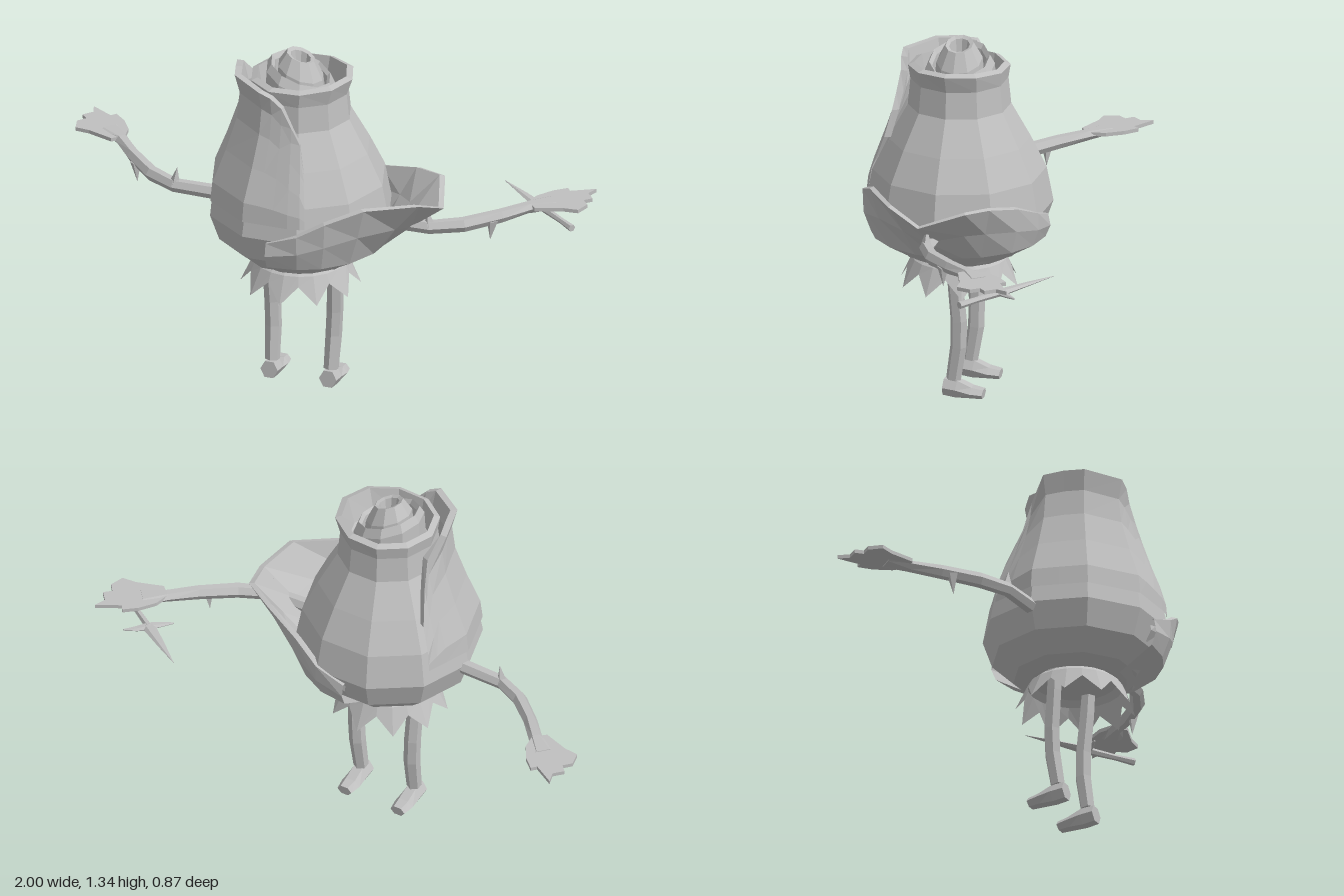
import * as THREE from 'three';

const CZ = 0.1; // the flower's axis sits a little forward
const V = (x, y, z) => new THREE.Vector3(x, y, z);
const mix = THREE.MathUtils.lerp;
const rad = THREE.MathUtils.degToRad;

// point around the flower axis; 0 degrees is +x, 90 is +z
const polar = (deg, r, y) => V(r * Math.cos(rad(deg)), y, CZ + r * Math.sin(rad(deg)));

// surface through rows of points
function grid(rows, wrap = false) {
  const n = rows[0].length, index = [];
  for (let i = 0; i < rows.length - 1; i++) {
    for (let j = 0; j < (wrap ? n : n - 1); j++) {
      const k = (j + 1) % n, a = i * n + j, b = i * n + k, c = (i + 1) * n + k, d = (i + 1) * n + j;
      index.push(a, b, c, a, c, d);
    }
  }
  const g = new THREE.BufferGeometry().setFromPoints(rows.flat());
  g.setIndex(index);
  return g;
}

// six-sided limb through [x, y, z, width radius, depth radius]
function limb(path, ref) {
  const pts = path.map(p => V(p[0], p[1], p[2]));
  const rows = pts.map((p, i) => {
    const t = pts[Math.min(i + 1, pts.length - 1)].clone().sub(pts[Math.max(i - 1, 0)]).normalize();
    const u = t.clone().cross(ref).normalize();
    const v = u.clone().cross(t);
    const [, , , ru, rv = ru] = path[i];
    return Array.from({ length: 6 }, (_, k) => p.clone()
      .addScaledVector(u, ru * Math.cos(k * Math.PI / 3))
      .addScaledVector(v, rv * Math.sin(k * Math.PI / 3)));
  });
  const cap = p => Array.from({ length: 6 }, () => p.clone());
  return grid([cap(pts[0]), ...rows, cap(pts[pts.length - 1])], true);
}

// ten-sided turned part on the flower axis
function turned(profile) {
  const g = new THREE.LatheGeometry(profile.map(p => new THREE.Vector2(p[0], p[1])), 10, rad(18));
  return g.translate(0, 0, CZ);
}

function moveVertices(g, rule) {
  const p = g.attributes.position, v = V(0, 0, 0);
  for (let i = 0; i < p.count; i++) {
    rule(v.fromBufferAttribute(p, i));
    p.setXYZ(i, v.x, v.y, v.z);
  }
  return g;
}

export function createModel() {
  const model = new THREE.Group();
  const grey = new THREE.MeshStandardMaterial({ color: 0xbfbfbf, flatShading: true, side: THREE.DoubleSide });
  grey.name = 'plain grey';
  const add = (name, geometry, parent = model) => {
    const g = geometry.index ? geometry.toNonIndexed() : geometry;
    g.computeVertexNormals();
    const mesh = new THREE.Mesh(g, grey);
    mesh.name = name;
    parent.add(mesh);
    return mesh;
  };

  // bulb with an open neck, the rim lifted on its left
  const bulb = turned([[0, 0.53], [0.17, 0.53], [0.23, 0.55], [0.31, 0.62], [0.345, 0.72], [0.32, 0.85],
    [0.262, 0.97], [0.19, 1.1], [0.18, 1.2], [0.188, 1.25], [0.165, 1.26], [0.15, 1.17], [0, 1.12]]);
  add('flowerBulb', moveVertices(bulb, v => {
    if (v.y > 1.22 && v.x > 0) { v.y += 0.08 * v.x; v.x *= 1.08; }
  }));

  // nested inner petals, slanting down to the left
  const slant = v => { if (v.y > 1.19) v.y -= 0.35 * v.x; };
  add('innerPetals', moveVertices(turned([[0.14, 1.1], [0.13, 1.24], [0.112, 1.275], [0.1, 1.26], [0.09, 1.15]]), slant));
  add('innerBud', moveVertices(turned([[0.1, 1.12], [0.085, 1.27], [0.052, 1.33], [0.038, 1.325], [0.03, 1.28], [0, 1.3]]), slant));

  // outer petal wrapping the front and right: [angle, rim height]
  const petalProfile = [[0.78, 0.34], [0.85, 0.333], [0.97, 0.285], [1.1, 0.24], [1.2, 0.226], [1.29, 0.25]];
  const petalRadius = (y, deg) => {
    let i = 0;
    while (i < petalProfile.length - 2 && y > petalProfile[i + 1][0]) i++;
    const [a, b] = [petalProfile[i], petalProfile[i + 1]];
    const r = mix(a[1], b[1], (y - a[0]) / (b[0] - a[0]));
    return r * Math.cos(rad(18)) / Math.cos(rad((deg % 36) - 18));
  };
  const wrapRim = [[212, 0.95], [205, 1.08], [198, 1.19], [180, 1.27], [162, 1.28], [144, 1.28],
    [108, 1.27], [98, 1.25], [88, 1.21], [78, 1.14], [70, 1.08], [67, 0.98]];
  add('wrappingPetal', grid(wrapRim.map(([deg, top]) => {
    const levels = [0, 0.15, 0.4, 0.65, 0.85, 1].map(t => mix(0.78, top, t));
    const outer = levels.map(y => polar(deg, petalRadius(y, deg) + 0.004, y));
    const inner = levels.map(y => polar(deg, petalRadius(y, deg) - 0.022, y)).reverse();
    return [...outer, ...inner];
  })));

  // drooping petal peeled out on the left: [angle, rim radius, rim height]
  const foldRim = [[-92, 0.335, 0.7], [-72, 0.35, 0.74], [-52, 0.365, 0.79], [-30, 0.45, 0.835], [-18, 0.53, 0.85],
    [0, 0.56, 0.8], [14, 0.525, 0.855], [36, 0.42, 0.86], [56, 0.375, 0.81], [72, 0.355, 0.755], [92, 0.335, 0.71]];
  add('foldedPetal', grid(foldRim.map(([deg, r, y]) => {
    const out = [[0.19, 0.53], [0.325, 0.61], [mix(0.35, r, 0.4), mix(0.61, y, 0.5)], [r, y]];
    const back = [[r - 0.02, y + 0.004], [mix(0.33, r, 0.4) - 0.01, mix(0.63, y, 0.5)], [0.3, 0.63]];
    return [...out, ...back].map(p => polar(deg, p[0], p[1]));
  })));

  // skirt of pointed sepals
  const around = Array.from({ length: 21 }, (_, i) => 90 + i * 18);
  add('sepals', grid([
    around.map(d => polar(d, 0.14, 0.54)),
    around.map(d => polar(d, 0.175, 0.51)),
    around.map((d, i) => (i % 2 ? polar(d, 0.19, 0.475) : polar(d, 0.222, 0.41))),
  ]));

  // limbs, mirrored
  for (const s of [1, -1]) {
    const side = s > 0 ? 'left' : 'right';
    add(side + 'Leg', limb([[s * 0.13, 0.55, 0.085, 0.028], [s * 0.127, 0.45, 0.08, 0.03], [s * 0.122, 0.3, 0.068, 0.031],
      [s * 0.118, 0.2, 0.07, 0.031], [s * 0.115, 0.07, 0.09, 0.028]], V(1, 0, 0)));
    add(side + 'Foot', limb([[s * 0.115, 0.04, 0.125, 0.034, 0.036], [s * 0.115, 0.036, 0.075, 0.036, 0.038],
      [s * 0.115, 0.026, 0.02, 0.038, 0.024], [s * 0.115, 0.022, -0.025, 0.03, 0.02]], V(0, 1, 0)));

    const arm = new THREE.Group();
    arm.name = side + 'Arm';
    model.add(arm);
    add('armStem', limb([[s * 0.3, 0.71, 0.09, 0.028], [s * 0.5, 0.708, 0.085, 0.026], [s * 0.61, 0.712, 0.03, 0.028],
      [s * 0.72, 0.722, -0.07, 0.026], [s * 0.8, 0.732, -0.16, 0.026, 0.02], [s * 0.87, 0.737, -0.22, 0.05, 0.012]], V(0, 1, 0)), arm);

    // flat leafy hand
    const outline = [[0.79, 0.17], [0.8, 0.23], [0.84, 0.29], [0.885, 0.33], [0.9, 0.31], [0.985, 0.36], [0.97, 0.315],
      [1, 0.28], [0.975, 0.255], [1, 0.225], [0.985, 0.17], [0.93, 0.165], [0.83, 0.13]];
    const shape = new THREE.Shape(outline.map(p => new THREE.Vector2(s * p[0], p[1])));
    const hand = new THREE.ExtrudeGeometry(shape, { depth: 0.014, bevelEnabled: false });
    add('hand', hand.rotateX(-Math.PI / 2).translate(0, 0.731, 0), arm);

    // thorns
    const up = add('upperThorn', new THREE.ConeGeometry(0.022, 0.07, 4), arm);
    up.position.set(s * 0.495, 0.748, 0.085);
    up.rotation.z = s * 0.15;
    const down = add('lowerThorn', new THREE.ConeGeometry(0.022, 0.08, 4), arm);
    down.position.set(s * 0.695, 0.675, -0.035);
    down.rotation.z = Math.PI - s * 0.1;
  }

  // thorn sword lying under the left hand
  const sword = new THREE.Group();
  sword.name = 'sword';
  model.add(sword);
  const UP = V(0, 1, 0);
  add('blade', limb([[0.6, 0.682, -0.43, 0.001], [0.7, 0.678, -0.358, 0.015, 0.007], [0.8, 0.672, -0.285, 0.026, 0.012]], UP), sword);
  add('guard', limb([[0.735, 0.668, -0.215, 0.003], [0.77, 0.67, -0.25, 0.014, 0.008], [0.8, 0.672, -0.285, 0.02, 0.013],
    [0.83, 0.672, -0.32, 0.014, 0.008], [0.865, 0.675, -0.355, 0.003]], UP), sword);
  add('grip', limb([[0.8, 0.672, -0.285, 0.014], [0.9, 0.668, -0.215, 0.011], [0.96, 0.665, -0.172, 0.014]], UP), sword);
  return model;
}
